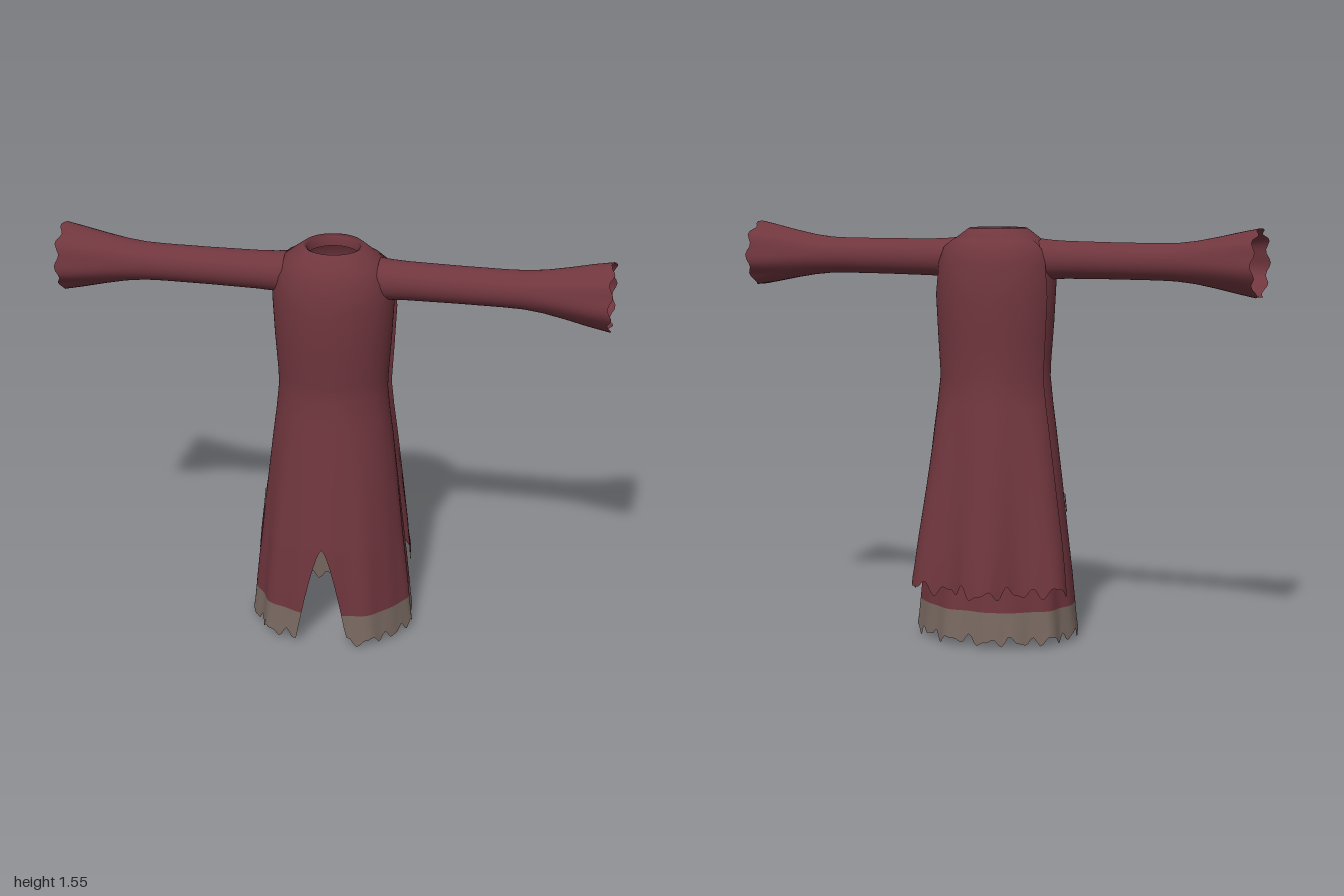
import * as THREE from 'three';
import { mergeVertices } from 'three/addons/utils/BufferGeometryUtils.js';

const mat = (name, color) => {
  const m = new THREE.MeshStandardMaterial({ color, side: THREE.DoubleSide });
  m.name = name;
  return m;
};

// Smooth grid surface: point(i, u) for row i and u in 0..1 along the row.
// Rows from splitRow on use the second material.
function sheet(rowCount, cols, point, splitRow = rowCount - 1) {
  const pos = [], idx = [];
  for (let i = 0; i < rowCount; i++)
    for (let j = 0; j <= cols; j++) pos.push(...point(i, j / cols));
  for (let i = 0; i < rowCount - 1; i++)
    for (let j = 0; j < cols; j++) {
      const a = i * (cols + 1) + j, b = a + cols + 1;
      idx.push(a, b, a + 1, b, b + 1, a + 1);
    }
  let g = new THREE.BufferGeometry();
  g.setAttribute('position', new THREE.Float32BufferAttribute(pos, 3));
  g.setIndex(idx);
  g = mergeVertices(g, 1e-4);
  g.computeVertexNormals();
  const cut = splitRow * cols * 6;
  g.addGroup(0, cut, 0);
  if (cut < idx.length) g.addGroup(cut, idx.length - cut, 1);
  return g;
}

const CZ = 0.04; // centre of the robe in z

// Point on an oval ring, angle 0 at the front, turning towards +x
const ring = (y, a, b, t, k = 1) => [a * k * Math.sin(t), y, CZ + b * k * Math.cos(t)];

// Soft folds that grow towards the hem
const robeFold = (y, t) =>
  1 + 0.03 * Math.max(0, 0.8 - y) * (Math.cos(9 * t + 0.4) + 0.6 * Math.sin(14 * t));

// Ragged cloth edge
const ragged = (t) =>
  0.013 * Math.sin(23 * t) + 0.008 * Math.sin(37 * t + 1) + 0.005 * Math.sin(11 * t);

export function createModel() {
  const cloth = mat('maroon cloth', 0x70363e);
  const trim = mat('dusty hem', 0x7a6a62);
  const model = new THREE.Group();
  const add = (name, geometry, parent = model) => {
    const m = new THREE.Mesh(geometry, [cloth, trim]);
    m.name = name;
    parent.add(m);
    return m;
  };

  // Robe: rows of [y, half width, half depth], from inside the collar to the hem
  const robe = [
    [1.505, 0.092, 0.09], [1.54, 0.094, 0.092], [1.547, 0.108, 0.104], [1.52, 0.146, 0.125],
    [1.49, 0.185, 0.146], [1.44, 0.211, 0.17], [1.35, 0.221, 0.184], [1.2, 0.213, 0.178],
    [1.06, 0.203, 0.164], [1.0, 0.201, 0.16], [0.9, 0.211, 0.17], [0.8, 0.224, 0.182],
    [0.6, 0.247, 0.204], [0.42, 0.266, 0.224], [0.41, 0.267, 0.225], [0.385, 0.27, 0.227],
    [0.34, 0.275, 0.23], [0.27, 0.283, 0.235], [0.2, 0.29, 0.239], [0.145, 0.295, 0.242],
    [0.09, 0.3, 0.245], [0.035, 0.306, 0.248],
  ];
  const hemRow = robe.findIndex((r) => r[0] === 0.145);
  const slit = (y) => 0.33 * Math.pow(Math.max(0, 0.42 - y) / 0.385, 0.65);
  add('robe', sheet(robe.length, 144, (i, u) => {
    const [y, a, b] = robe[i];
    const s = slit(y);
    const t = s + u * 2 * (Math.PI - s);
    const edge = i === robe.length - 1 ? ragged(t) : 0;
    return ring(y + edge, a, b, t, robeFold(y, t));
  }, hemRow));

  // Small patch on the right side of the skirt
  const patch = [[0.56, 0.256, 0.213], [0.52, 0.26, 0.217], [0.49, 0.263, 0.22]];
  add('patch', sheet(patch.length, 4, (i, u) => {
    const [y, a, b] = patch[i];
    const t = -1.42 + 0.2 * u;
    return ring(y, a, b, t, robeFold(y, t));
  }, 0));

  // Cape: open sheet around the back, with deep waves at its ragged lower edge
  const cape = [
    [1.515, 0.15, 0.127], [1.5, 0.178, 0.146], [1.475, 0.207, 0.168], [1.42, 0.226, 0.187],
    [1.3, 0.236, 0.199], [1.15, 0.228, 0.195], [1.0, 0.219, 0.188], [0.9, 0.232, 0.203],
    [0.8, 0.248, 0.22], [0.6, 0.278, 0.252], [0.4, 0.308, 0.283], [0.3, 0.32, 0.298],
    [0.225, 0.328, 0.306],
  ];
  const start = Math.PI / 2 + 0.36;
  add('cape', sheet(cape.length, 96, (i, u) => {
    const [y, a, b] = cape[i];
    const t = start + u * 2 * (Math.PI - start);
    const wave = 0.1 * Math.max(0, 1 - y) * Math.cos(7 * (t - Math.PI / 2 - 1.72));
    const edge = i === cape.length - 1 ? 1.2 * ragged(t) : 0;
    return ring(y + edge, a, b, t, 1 + wave);
  }));

  // Sleeves: rows of [x, radius], flaring to a wavy cuff
  const sleeve = [
    [0.17, 0.076], [0.21, 0.072], [0.27, 0.069], [0.45, 0.067], [0.62, 0.067],
    [0.69, 0.069], [0.76, 0.077], [0.84, 0.092], [0.92, 0.109], [0.992, 0.122],
  ];
  const sleeveGeo = sheet(sleeve.length, 48, (i, u) => {
    const [x, r] = sleeve[i];
    const t = u * Math.PI * 2;
    const flare = Math.max(0, x - 0.7) / 0.3;
    const k = r * (1 + 0.035 * flare * Math.cos(7 * t));
    const edge = i === sleeve.length - 1 ? 0.008 * Math.sin(9 * t) : 0;
    return [x + edge, k * Math.cos(t), -k * Math.sin(t)];
  });
  for (const [name, turn] of [['leftSleeve', 0], ['rightSleeve', Math.PI]]) {
    const m = add(name, sleeveGeo);
    m.position.set(0, 1.433, 0.05);
    m.rotation.y = turn;
  }
  return model;
}
